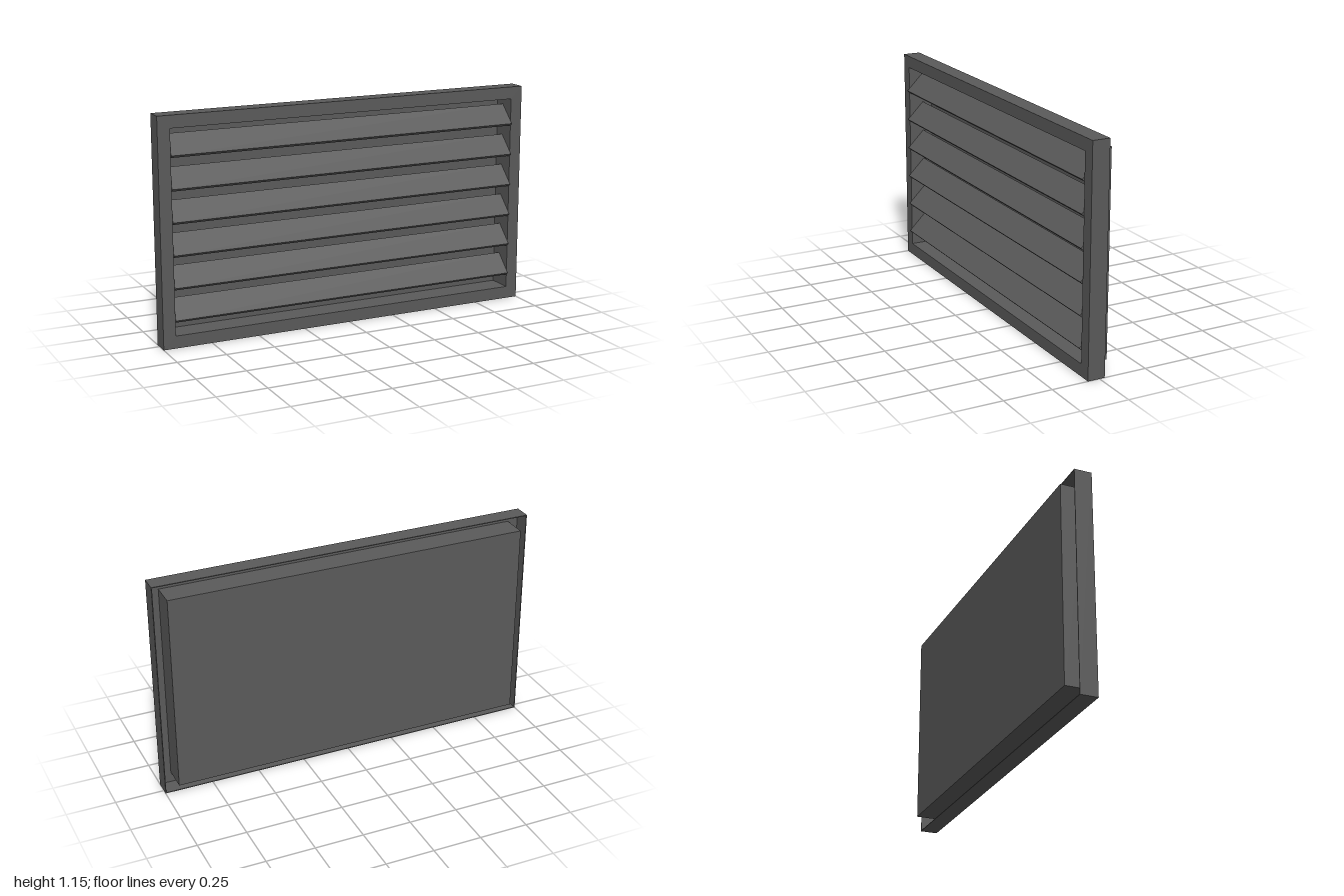
import * as THREE from 'three';

const W = 2, H = 1.146;          // outer flange size
const DW = 1.882, DH = 1.028;    // duct size
const SHEET = 0.004;             // sheet metal thickness
const FRONT = 0.062, RIM_BACK = -0.028, BACK = -0.073;

export function createModel() {
  const group = new THREE.Group();
  const metal = new THREE.MeshStandardMaterial({ color: 0x5a5a5a });
  metal.name = 'dark grey metal';

  const add = (name, geometry, y, z) => {
    const mesh = new THREE.Mesh(geometry, metal);
    mesh.name = name;
    mesh.position.set(0, y, z);
    group.add(mesh);
    return mesh;
  };

  const rect = (path, w, h) => path
    .moveTo(-w / 2, -h / 2).lineTo(w / 2, -h / 2).lineTo(w / 2, h / 2).lineTo(-w / 2, h / 2).closePath();

  // Rectangular ring extruded from z0 to z1
  const ring = (name, w, h, innerW, innerH, z0, z1) => {
    const shape = new THREE.Shape();
    rect(shape, w, h);
    const hole = new THREE.Path();
    rect(hole, innerW, innerH);
    shape.holes.push(hole);
    add(name, new THREE.ExtrudeGeometry(shape, { depth: z1 - z0, bevelEnabled: false }), H / 2, z0);
  };

  // Front flange with its folded rim, hollow behind
  ring('frontFlange', W, H, DW - 2 * SHEET, DH - 2 * SHEET, FRONT - SHEET, FRONT);
  ring('flangeRim', W, H, W - 2 * SHEET, H - 2 * SHEET, RIM_BACK, FRONT - SHEET);

  // Duct walls and closed back
  ring('ductWalls', DW, DH, DW - 2 * SHEET, DH - 2 * SHEET, BACK + SHEET, FRONT - SHEET);
  add('backPanel', new THREE.BoxGeometry(DW, DH, SHEET), H / 2, BACK + SHEET / 2);

  // Six slats tilted 45 degrees, front edge low and slightly proud of the flange
  const slat = new THREE.BoxGeometry(DW - 2 * SHEET, 0.017, 0.129);
  slat.rotateX(Math.PI / 4);
  for (let i = 0; i < 6; i++) {
    add('slat' + (i + 1), slat, 0.143 + i * 0.1622 + 0.0396, 0.0224);
  }
  return group;
}
